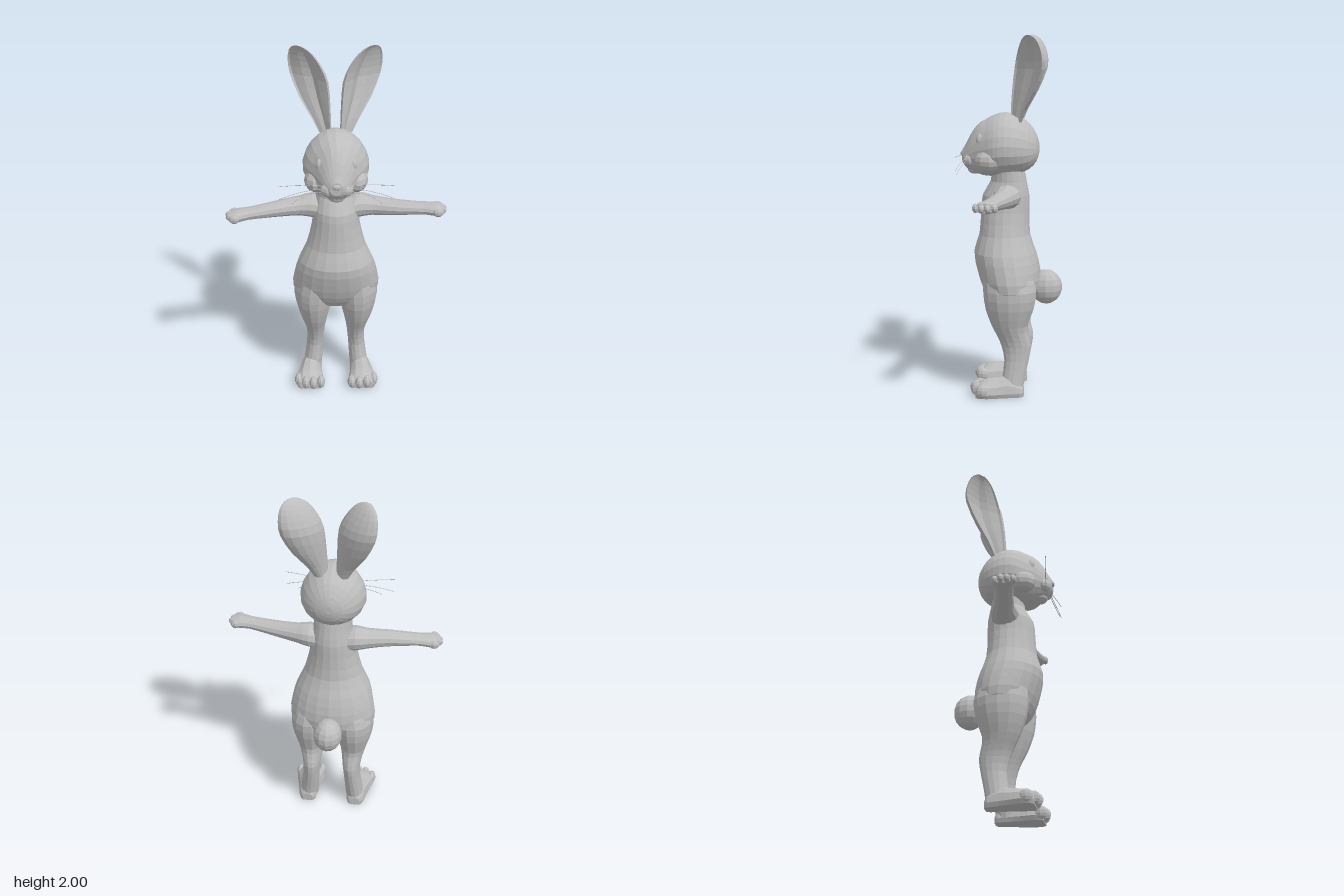
import * as THREE from 'three';

const fur = new THREE.MeshStandardMaterial({ color: 0xbdbdbd, flatShading: true });
fur.name = 'greyFur';

// Smoothly add rows between section rows of numbers
function refine(rows, steps = 2) {
  const out = [];
  for (let i = 0; i < rows.length - 1; i++) {
    const before = rows[Math.max(i - 1, 0)], from = rows[i], to = rows[i + 1], after = rows[Math.min(i + 2, rows.length - 1)];
    for (let k = 0; k < steps; k++) {
      const t = k / steps;
      out.push(from.map((b, j) => {
        const a = before[j], c = to[j], d = after[j];
        const cubic = 3 * (b - c) + d - a;
        const square = 2 * a - 5 * b + 4 * c - d;
        return b + 0.5 * t * (c - a + t * (square + t * cubic));
      }));
    }
  }
  out.push(rows[rows.length - 1]);
  return out;
}

// Closed skin over rings of points; corner order is turned outward by signed volume
function loft(rows, sides, point) {
  const pos = [], idx = [], n = rows.length;
  for (const row of rows) {
    for (let i = 0; i < sides; i++) {
      const a = (i / sides) * Math.PI * 2;
      pos.push(...point(row, Math.cos(a), Math.sin(a)));
    }
  }
  for (let r = 0; r < n - 1; r++) {
    for (let i = 0; i < sides; i++) {
      const a = r * sides + i, b = r * sides + (i + 1) % sides;
      idx.push(a, b, b + sides, a, b + sides, a + sides);
    }
  }
  for (const r of [0, n - 1]) {
    const c = [0, 0, 0], centre = pos.length / 3;
    for (let i = 0; i < sides; i++) {
      for (let k = 0; k < 3; k++) c[k] += pos[(r * sides + i) * 3 + k] / sides;
    }
    pos.push(...c);
    for (let i = 0; i < sides; i++) {
      const a = r * sides + i, b = r * sides + (i + 1) % sides;
      if (r === 0) idx.push(centre, b, a);
      else idx.push(centre, a, b);
    }
  }
  const p = i => new THREE.Vector3().fromArray(pos, idx[i] * 3);
  let volume = 0;
  for (let i = 0; i < idx.length; i += 3) volume += p(i).dot(p(i + 1).cross(p(i + 2)));
  if (volume < 0) idx.reverse();
  const g = new THREE.BufferGeometry();
  g.setAttribute('position', new THREE.Float32BufferAttribute(pos, 3));
  g.setIndex(idx);
  g.computeVertexNormals();
  return g;
}

export function createModel() {
  const model = new THREE.Group();
  model.name = 'rabbit';
  const add = (name, geometry) => {
    const m = new THREE.Mesh(geometry, fur);
    m.name = name;
    model.add(m);
    return m;
  };
  const ball = (name, [x, y, z], [rx, ry, rz], w = 10, h = 8) => {
    const m = add(name, new THREE.SphereGeometry(1, w, h));
    m.position.set(x, y, z);
    m.scale.set(rx, ry, rz);
    return m;
  };

  // Torso: y, z centre, half width, half depth
  const torso = [
    [0.49, 0, 0.08, 0.06], [0.53, 0, 0.18, 0.115], [0.6, 0, 0.243, 0.16], [0.7, 0.015, 0.236, 0.178],
    [0.8, 0.035, 0.21, 0.175], [0.9, 0.037, 0.165, 0.143], [1.03, 0.035, 0.133, 0.135],
    [1.12, 0.03, 0.125, 0.13], [1.2, 0.015, 0.108, 0.1], [1.28, 0.02, 0.11, 0.09],
  ];
  add('torso', loft(refine(torso), 20, ([y, z, rx, rz], c, s) => [c * rx, y, z + s * rz]));

  // Head: z, bottom, top, half width; fuller towards the cheeks
  const head = [
    [-0.155, 1.36, 1.41, 0.02], [-0.14, 1.31, 1.46, 0.075], [-0.1, 1.265, 1.52, 0.128], [-0.04, 1.24, 1.562, 0.165],
    [0.03, 1.23, 1.58, 0.18], [0.09, 1.225, 1.568, 0.17], [0.14, 1.225, 1.542, 0.14], [0.18, 1.235, 1.518, 0.112],
    [0.22, 1.25, 1.468, 0.085], [0.25, 1.27, 1.41, 0.062], [0.272, 1.3, 1.375, 0.035],
  ];
  add('head', loft(refine(head), 20, ([z, lo, hi, w], c, s) =>
    [c * w * (1 - 0.15 * s), (lo + hi) / 2 + s * (hi - lo) / 2, z]));
  ball('nose', [0, 1.35, 0.268], [0.026, 0.018, 0.017]);
  ball('chin', [0, 1.265, 0.2], [0.05, 0.03, 0.045]);

  // Tail and its stub
  ball('tail', [0, 0.597, -0.197], [0.082, 0.098, 0.09], 12, 9);
  ball('tailBase', [0, 0.61, -0.14], [0.055, 0.06, 0.06]);

  for (const side of [1, -1]) {
    const name = part => (side > 0 ? 'left' : 'right') + part;

    // Face
    ball(name('Eye'), [side * 0.088, 1.432, 0.163], [0.022, 0.036, 0.026], 12, 10).rotation.y = side * 0.5;
    ball(name('MuzzlePad'), [side * 0.04, 1.318, 0.228], [0.05, 0.042, 0.04]);
    ball(name('Cheek'), [side * 0.105, 1.32, 0.11], [0.068, 0.065, 0.085]);
    for (const [y0, y1, bow, x1] of [[1.345, 1.362, 0.01, 0.31], [1.33, 1.285, 0.025, 0.31], [1.315, 1.26, 0.02, 0.24]]) {
      const curve = new THREE.QuadraticBezierCurve3(
        new THREE.Vector3(side * 0.06, y0, 0.245),
        new THREE.Vector3(side * 0.18, (y0 + y1) / 2 + bow, 0.255),
        new THREE.Vector3(side * x1, y1, 0.28));
      add(name('Whisker'), new THREE.TubeGeometry(curve, 8, 0.0017, 4));
    }

    // Ear: y, x centre, z centre, half width, depth; a cupped shell opening forward and outward
    const ear = [
      [1.53, 0.06, -0.025, 0.04, 0.035], [1.6, 0.08, -0.038, 0.062, 0.045], [1.7, 0.115, -0.068, 0.1, 0.06],
      [1.82, 0.146, -0.098, 0.126, 0.068], [1.9, 0.167, -0.106, 0.113, 0.055], [1.96, 0.184, -0.106, 0.082, 0.035],
      [1.99, 0.194, -0.103, 0.045, 0.018], [2.0, 0.198, -0.1, 0.015, 0.006],
    ];
    add(name('Ear'), loft(refine(ear), 16, ([y, x, z, w, d], c, s) => {
      const u = c * w;
      const v = s < 0 ? s * d : d * (0.25 * Math.sin(Math.PI * Math.abs(c)) - 0.55 * s);
      return [side * (x + 0.78 * u + 0.62 * v), y, z - 0.62 * u + 0.78 * v];
    }));

    // Arm: x, y centre, z centre, half height, half depth; one hand rides a little higher
    const lift = x => side * 0.016 * THREE.MathUtils.smoothstep(x, 0.25, 0.6);
    const arm = [
      [0.04, 1.11, 0.025, 0.065, 0.08], [0.13, 1.124, 0.015, 0.067, 0.078], [0.2, 1.124, 0.022, 0.054, 0.064],
      [0.3, 1.122, 0.045, 0.045, 0.056], [0.4, 1.12, 0.065, 0.037, 0.052], [0.48, 1.119, 0.08, 0.032, 0.05],
      [0.54, 1.116, 0.091, 0.034, 0.06], [0.575, 1.116, 0.094, 0.026, 0.054],
    ];
    add(name('Arm'), loft(refine(arm), 12, ([x, y, z, ry, rz], c, s) => [side * x, y + lift(x) + s * ry, z + c * rz]));
    for (const [x, z] of [[0.56, 0.046], [0.578, 0.08], [0.574, 0.112], [0.556, 0.143]]) {
      ball(name('Finger'), [side * x, 1.115 + lift(x), z], [0.03, 0.024, 0.018], 8, 6);
    }

    // Leg: y, x centre, z centre, half width, half depth
    const leg = [
      [0.02, 0.142, -0.012, 0.055, 0.062], [0.1, 0.132, -0.022, 0.052, 0.065], [0.2, 0.122, -0.038, 0.048, 0.07],
      [0.28, 0.118, -0.036, 0.052, 0.084], [0.34, 0.12, -0.018, 0.062, 0.09], [0.4, 0.124, 0, 0.077, 0.102],
      [0.5, 0.127, 0, 0.104, 0.137], [0.6, 0.125, 0, 0.115, 0.15], [0.68, 0.115, 0.01, 0.1, 0.14],
    ];
    add(name('Leg'), loft(refine(leg), 14, ([y, x, z, rx, rz], c, s) => [side * (x + c * rx), y, z + s * rz]));

    // Foot: z, x centre, half width, top; flat sole
    const foot = [
      [-0.08, 0.142, 0.03, 0.05], [-0.06, 0.143, 0.05, 0.08], [0, 0.147, 0.06, 0.115], [0.06, 0.152, 0.07, 0.105],
      [0.12, 0.155, 0.082, 0.098], [0.165, 0.154, 0.08, 0.082], [0.185, 0.152, 0.066, 0.06],
    ];
    add(name('Foot'), loft(refine(foot), 12, ([z, x, w, top], c, s) =>
      [side * (x + c * w), Math.max(0, 0.024 + s * (s < 0 ? 0.048 : top - 0.024)), z]));
    for (const [x, z] of [[0.09, 0.172], [0.134, 0.184], [0.178, 0.176], [0.22, 0.146]]) {
      ball(name('Toe'), [side * x, 0.042, z], [0.024, 0.038, 0.038], 8, 7);
    }
  }
  return model;
}
